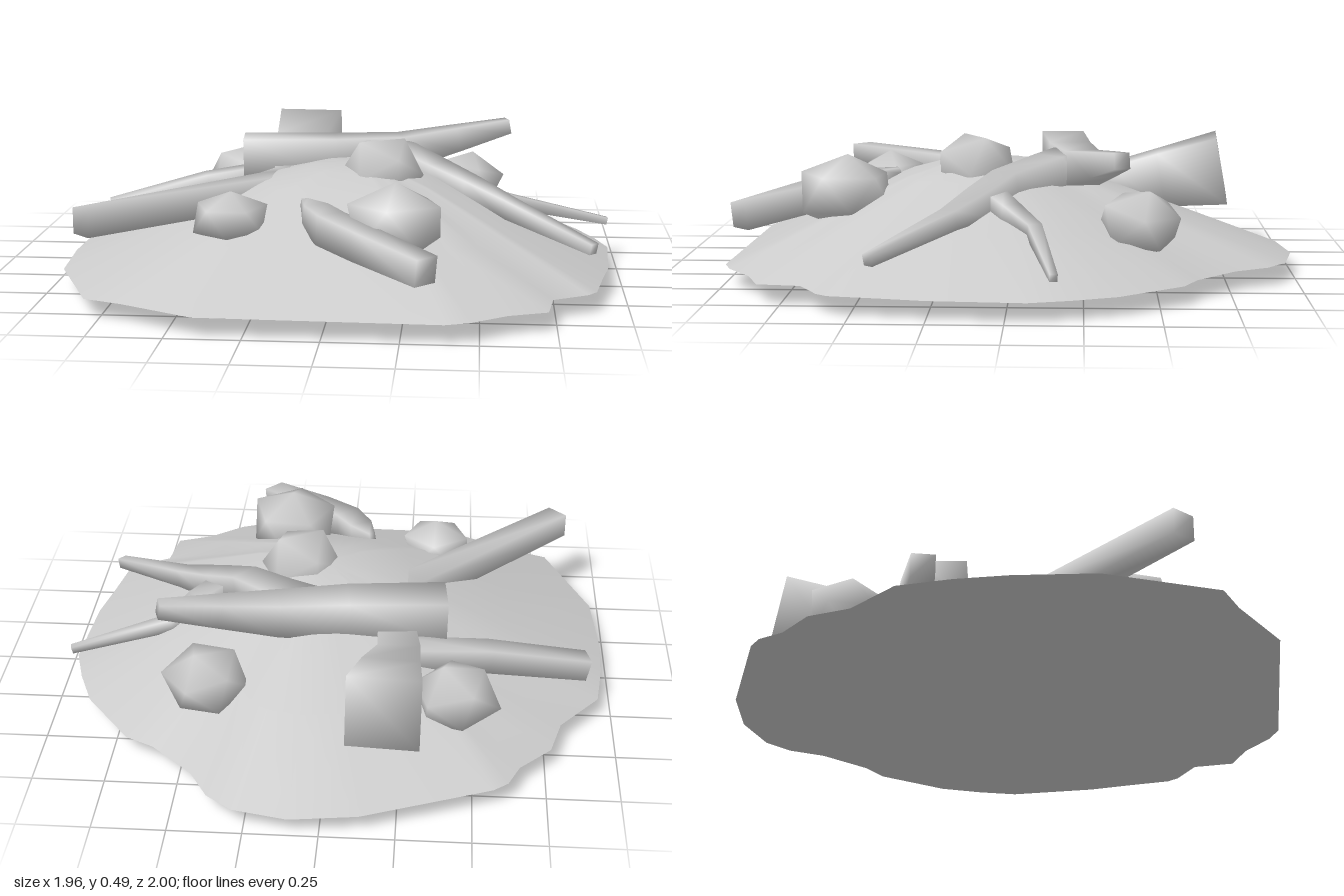
import * as THREE from 'three';
import { mergeVertices } from 'three/addons/utils/BufferGeometryUtils.js';

const material = new THREE.MeshStandardMaterial({ color: 0xcccccc });

function build(name, positions, index) {
  const g = new THREE.BufferGeometry();
  g.setAttribute('position', new THREE.Float32BufferAttribute(positions, 3));
  g.setIndex(index);
  g.computeVertexNormals();
  const mesh = new THREE.Mesh(g, material);
  mesh.name = name;
  return mesh;
}

// Uneven outline of the mound: x, z pairs, clockwise seen from above
const RIM = [
  0.10, -1.0, 0.29, -0.96, 0.38, -0.89, 0.45, -0.77, 0.60, -0.63, 0.70, -0.58, 0.87, -0.36,
  0.93, -0.21, 0.97, -0.07, 0.95, 0.25, 0.92, 0.40, 0.89, 0.57, 0.86, 0.61, 0.74, 0.68,
  0.72, 0.83, 0.59, 0.88, 0.47, 0.97, 0.39, 1.0, -0.41, 0.98, -0.67, 0.84, -0.80, 0.79,
  -0.96, 0.41, -0.98, 0.13, -0.975, -0.05, -0.95, -0.24, -0.81, -0.41, -0.77, -0.56,
  -0.66, -0.67, -0.62, -0.76, -0.57, -0.80, -0.13, -0.97,
];
const RIM_Y = 0.065;
const CROWN = { x: 0.05, y: 0.405, z: 0.1 };

// Outline shrunk towards the crown
function rimRing(scale, y) {
  const out = [];
  for (let i = 0; i < RIM.length; i += 2) {
    out.push(CROWN.x + (RIM[i] - CROWN.x) * scale, y, CROWN.z + (RIM[i + 1] - CROWN.z) * scale);
  }
  return out;
}

// Shallow cone with a flatter crown, steeper at the front
function moundTop() {
  const n = RIM.length / 2;
  const rings = [[1, RIM_Y], [0.65, 0.21], [0.32, 0.345], [0.16, 0.39]];
  const pos = rings.flatMap(([s, y]) => rimRing(s, y));
  pos.push(CROWN.x, CROWN.y, CROWN.z);
  const apex = rings.length * n;
  const idx = [];
  for (let i = 0; i < n; i++) {
    const j = (i + 1) % n;
    for (let k = 0; k < rings.length - 1; k++) {
      const a = k * n, b = a + n;
      idx.push(a + i, b + i, b + j, a + i, b + j, a + j);
    }
    const c = apex - n;
    idx.push(c + i, apex, c + j);
  }
  return build('moundTop', pos, idx);
}

// Underside dips to a point on the ground
function moundUnderside() {
  const n = RIM.length / 2;
  const idx = [];
  for (let i = 0; i < n; i++) idx.push(i, (i + 1) % n, n);
  return build('moundUnderside', [...rimRing(1, RIM_Y), 0.05, 0, 0.03], idx);
}

// Square-section, smooth-shaded limb through [x, y, z, half width] stations
function limb(name, stations) {
  const pts = stations.map(([x, y, z]) => new THREE.Vector3(x, y, z));
  const last = pts.length - 1;
  const up = new THREE.Vector3(0, 1, 0);
  const corners = [[1, 1], [-1, 1], [-1, -1], [1, -1]];
  const pos = [], idx = [];
  pts.forEach((p, i) => {
    const along = pts[Math.min(i + 1, last)].clone().sub(pts[Math.max(i - 1, 0)]).normalize();
    const side = up.clone().cross(along).normalize();
    const top = along.clone().cross(side);
    for (const [a, b] of corners) {
      const q = p.clone()
        .addScaledVector(side, a * stations[i][3])
        .addScaledVector(top, b * stations[i][3]);
      pos.push(q.x, q.y, q.z);
    }
  });
  for (let i = 0; i < last; i++) {
    for (let j = 0; j < 4; j++) {
      const a = i * 4 + j, b = i * 4 + (j + 1) % 4;
      idx.push(a, b, b + 4, a, b + 4, a + 4);
    }
  }
  const e = last * 4;
  idx.push(0, 2, 1, 0, 3, 2, e, e + 1, e + 2, e, e + 2, e + 3);
  return build(name, pos, idx);
}

// Smooth-shaded, uneven twenty-sided stone
function rock([x, y, z, width, height, tilt, spin], seed) {
  const base = new THREE.IcosahedronGeometry(1, 0);
  base.deleteAttribute('normal');
  base.deleteAttribute('uv');
  const g = mergeVertices(base, 1e-3);
  g.rotateZ(tilt);
  g.rotateY(spin);
  const p = g.attributes.position;
  for (let i = 0; i < p.count; i++) {
    const k = 1 + 0.07 * Math.sin(i * 5.3 + seed * 2.1);
    p.setXYZ(i, p.getX(i) * k * width, p.getY(i) * k * height, p.getZ(i) * k * width);
  }
  g.computeVertexNormals();
  const mesh = new THREE.Mesh(g, material);
  mesh.name = 'rock' + (seed + 1);
  mesh.position.set(x, y, z);
  return mesh;
}

export function createModel() {
  const model = new THREE.Group();
  model.name = 'rubbleMound';
  model.add(moundTop(), moundUnderside());

  // Log across the crown with its forked branch
  const crossLog = new THREE.Group();
  crossLog.name = 'crossLog';
  crossLog.add(
    limb('crossLogTrunk', [
      [-0.395, 0.365, -0.17, 0.08], [-0.05, 0.37, -0.20, 0.075], [0.2, 0.385, -0.245, 0.062],
      [0.4, 0.425, -0.31, 0.045], [0.6, 0.465, -0.375, 0.027]]),
    limb('crossLogBranch', [
      [0.1, 0.37, -0.2, 0.07], [0.2, 0.365, -0.13, 0.065], [0.34, 0.335, 0.02, 0.057],
      [0.46, 0.3, 0.1, 0.05], [0.6, 0.265, 0.2, 0.033], [0.885, 0.18, 0.44, 0.019]]),
    limb('crossLogTwig', [
      [0.42, 0.3, 0.07, 0.045], [0.52, 0.27, 0.0, 0.037],
      [0.61, 0.23, -0.085, 0.025], [0.97, 0.146, -0.155, 0.013]]),
  );
  model.add(crossLog);

  // Bent log with a flared butt at the back and one side branch
  const bentLog = new THREE.Group();
  bentLog.name = 'bentLog';
  bentLog.add(
    limb('bentLogTrunk', [
      [-0.197, 0.335, -0.77, 0.125], [-0.212, 0.295, -0.55, 0.1], [-0.235, 0.26, -0.35, 0.075],
      [-0.215, 0.28, -0.15, 0.062], [-0.21, 0.295, -0.02, 0.057], [-0.27, 0.30, 0.1, 0.052],
      [-0.83, 0.295, 0.675, 0.045]]),
    limb('bentLogBranch', [
      [-0.23, 0.28, -0.33, 0.05], [-0.55, 0.24, -0.25, 0.045], [-0.905, 0.155, -0.158, 0.04]]),
  );
  model.add(bentLog);

  // Short splintered stick at the front
  model.add(limb('frontStick', [
    [-0.105, 0.33, 0.44, 0.012], [-0.06, 0.295, 0.52, 0.045], [0.0, 0.28, 0.63, 0.052],
    [0.12, 0.26, 0.76, 0.05], [0.33, 0.225, 0.96, 0.045]]));

  // Scattered rocks: x, y, z, width radius, height radius, tilt, spin
  const vertexUp = Math.atan(2 / (1 + Math.sqrt(5)));
  const rocks = [
    [-0.44, 0.235, -0.495, 0.15, 0.13, 0.2, 0.3],
    [0.43, 0.23, -0.45, 0.155, 0.125, 0.25, 0.6],
    [0.145, 0.37, 0.14, 0.16, 0.135, 0, 0.5],
    [-0.35, 0.28, 0.5, 0.137, 0.095, vertexUp, 0.9],
    [0.215, 0.3, 0.59, 0.18, 0.14, vertexUp, 0.2],
  ];
  rocks.forEach((r, i) => model.add(rock(r, i)));
  return model;
}
